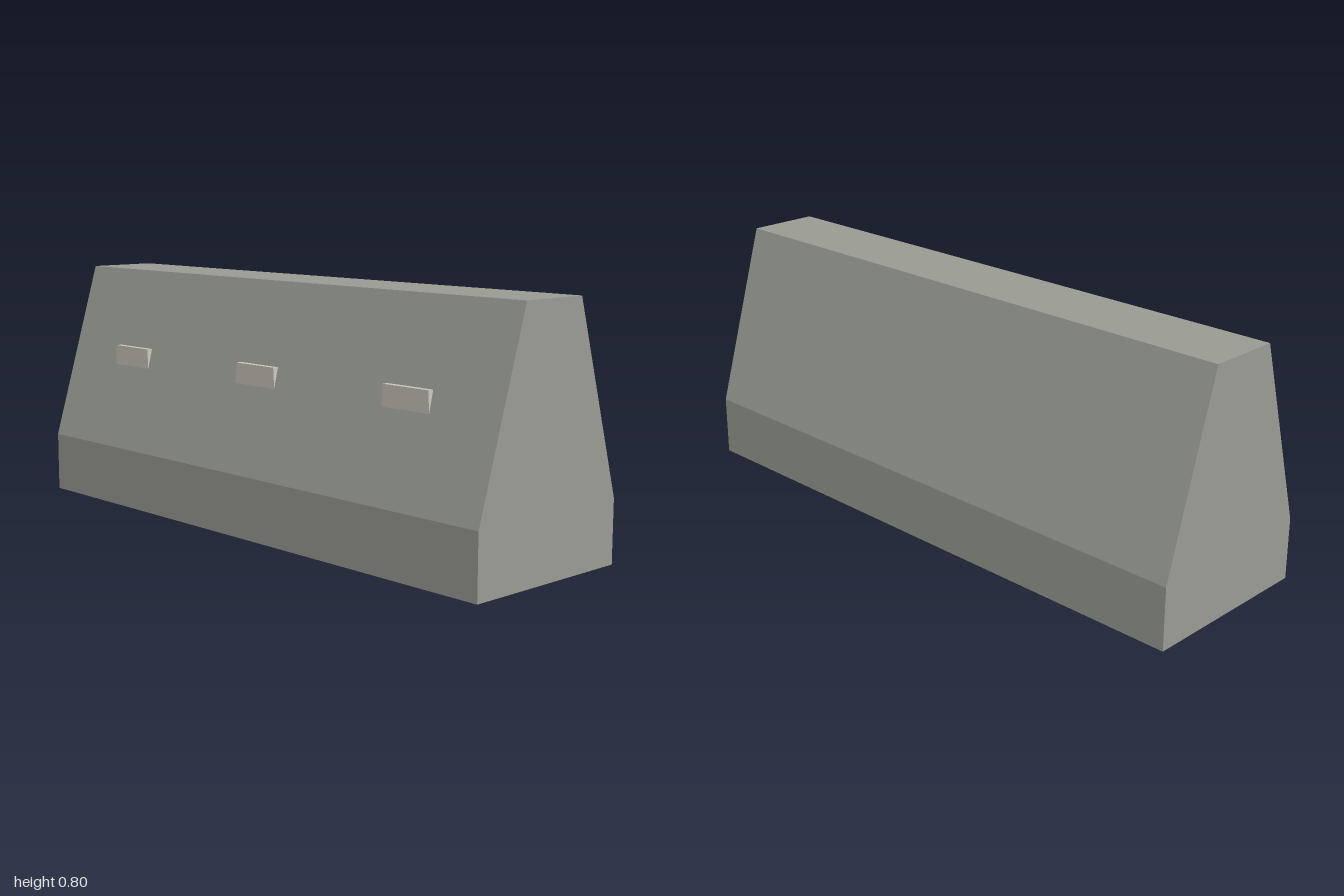
import * as THREE from 'three';

export function createModel() {
  const model = new THREE.Group();
  const concrete = new THREE.MeshStandardMaterial({ color: 0x9a9c94, flatShading: true });
  concrete.name = 'concrete';
  const pale = new THREE.MeshStandardMaterial({ color: 0xc9c6bb, flatShading: true });
  pale.name = 'pale marker';

  // Extrude an outline, centred along its depth
  const extrude = (points, depth) => {
    const shape = new THREE.Shape(points.map(([x, y]) => new THREE.Vector2(x, y)));
    return new THREE.ExtrudeGeometry(shape, { depth, bevelEnabled: false }).translate(0, 0, -depth / 2);
  };

  // Barrier body: symmetric section with an upright foot and sloped sides
  const section = [[-0.3, 0], [0.3, 0], [0.3, 0.2], [0.12, 0.8], [-0.12, 0.8], [-0.3, 0.2]];
  const body = new THREE.Mesh(extrude(section, 2).rotateY(Math.PI / 2), concrete);
  body.name = 'barrierBody';
  model.add(body);

  // Small marker blocks set into the front slope
  const outline = [[-0.093, 0.473], [0.093, 0.473], [0.089, 0.54], [-0.089, 0.54]];
  const markerGeometry = extrude(outline, 0.025);
  [-0.65, 0, 0.65].forEach((x, i) => {
    const marker = new THREE.Mesh(markerGeometry, pale);
    marker.name = `marker${i + 1}`;
    marker.position.set(x, 0, 0.2055);
    model.add(marker);
  });

  return model;
}
